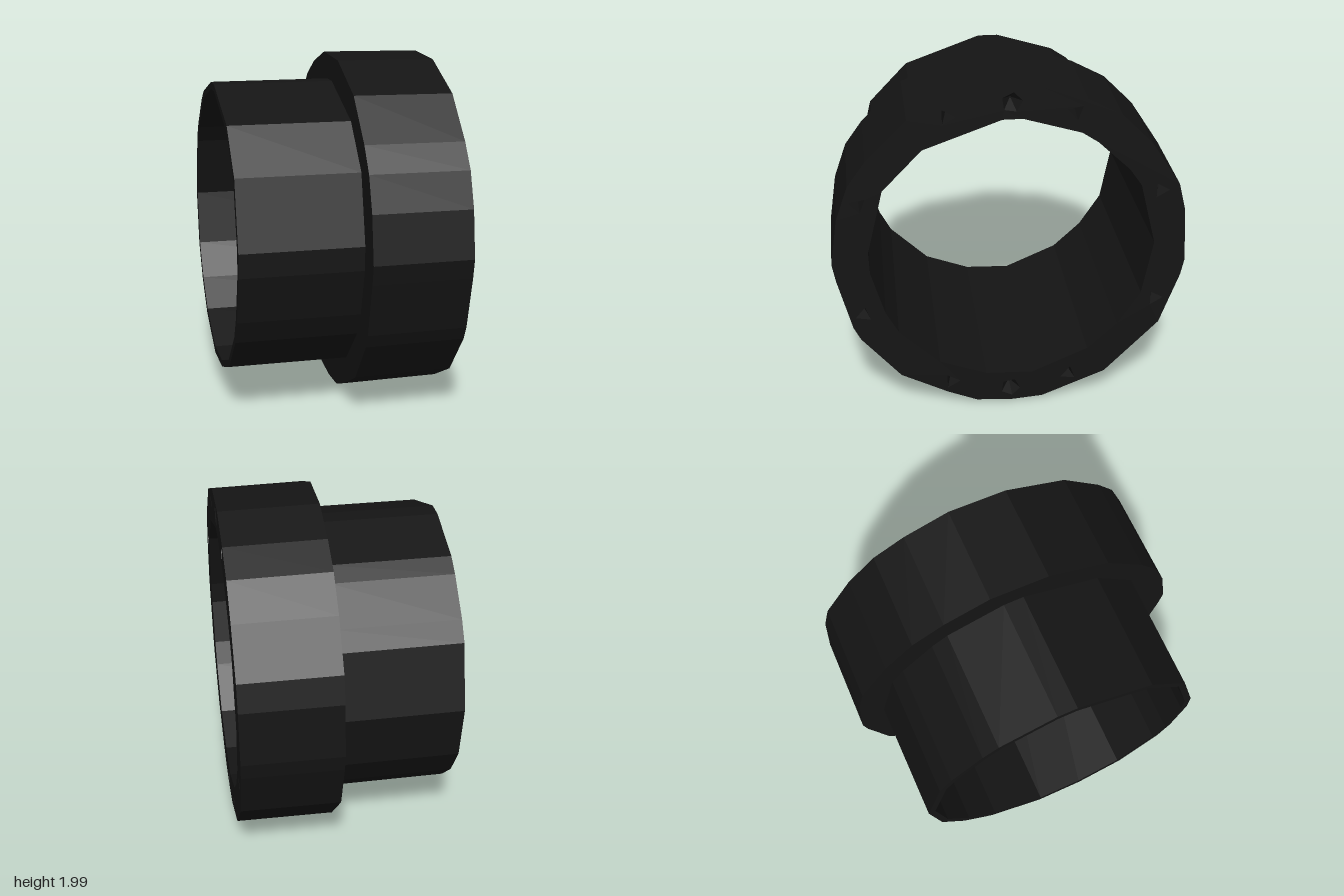
import * as THREE from 'three';

const FRONT = 0.625, STEP = 0.06, BACK = -0.63;

// Counter-clockwise outlines about the ring's axis, as [across, up] pairs
const outline = (pairs, s = 1) => pairs.map(([u, v]) => new THREE.Vector2(u * s, v * s)).reverse();
const RIM = [
  [-0.2, 0.98], [0.14, 0.995], [0.41, 0.91], [0.6, 0.81], [0.77, 0.64], [0.94, 0.38],
  [0.98, 0.22], [1, -0.1], [0.98, -0.2], [0.87, -0.51], [0.56, -0.83], [0.19, -0.98],
  [0, -0.995], [-0.2, -0.98], [-0.37, -0.91], [-0.64, -0.77], [-0.86, -0.51], [-0.9, -0.43],
  [-0.98, -0.12], [-1, -0.01], [-0.96, 0.26], [-0.89, 0.46], [-0.79, 0.6], [-0.56, 0.83]];
const BORE = [
  [-0.05, 0.805], [0.06, 0.805], [0.38, 0.71], [0.47, 0.65], [0.65, 0.48], [0.72, 0.38],
  [0.81, 0.02], [0.75, -0.3], [0.62, -0.5], [0.45, -0.66], [0.13, -0.8], [-0.14, -0.79],
  [-0.41, -0.69], [-0.64, -0.47], [-0.71, -0.34], [-0.785, -0.08], [-0.79, 0.05],
  [-0.7, 0.42], [-0.48, 0.65]];

// Wall joining two matching outlines; swapping the ends turns it inside out
function wall(a, za, b, zb) {
  const pos = [];
  a.forEach((p, i) => {
    const j = (i + 1) % a.length;
    pos.push(p.x, p.y, za, a[j].x, a[j].y, za, b[j].x, b[j].y, zb);
    pos.push(p.x, p.y, za, b[j].x, b[j].y, zb, b[i].x, b[i].y, zb);
  });
  const g = new THREE.BufferGeometry();
  g.setAttribute('position', new THREE.Float32BufferAttribute(pos, 3));
  g.computeVertexNormals();
  return g;
}

// Flat face with openings, optionally facing backwards
function face(outer, holes, z, backward = false) {
  const shape = new THREE.Shape(outer);
  shape.holes = holes.map(h => new THREE.Path(h));
  const g = new THREE.ShapeGeometry(shape);
  if (backward) {
    const idx = g.index.array;
    for (let i = 0; i < idx.length; i += 3) [idx[i], idx[i + 1]] = [idx[i + 1], idx[i]];
    g.computeVertexNormals();
  }
  return g.translate(0, 0, z);
}

export function createModel() {
  const model = new THREE.Group();
  const ring = new THREE.Group();
  ring.name = 'flangedRing';
  model.add(ring);
  const material = new THREE.MeshStandardMaterial({ color: 0x141414, flatShading: true });
  const add = (name, geometry) => {
    const mesh = new THREE.Mesh(geometry, material);
    mesh.name = name;
    ring.add(mesh);
  };

  const rimBack = outline(RIM), rimFront = outline(RIM, 0.993);
  const bore = outline(BORE), sleeve = outline(BORE, 1.05);

  // Small pits around the flange face
  const pits = [22.5, 67.5, 90, 112.5, 157.5, 202.5, 247.5, 270, 292.5, 337.5].map((deg, k) => {
    const t = THREE.MathUtils.degToRad(deg);
    const sides = deg % 180 === 90 ? 5 : 3;
    const r = sides === 5 ? 0.058 : 0.05;
    return Array.from({ length: sides }, (_, i) => {
      const a = (i / sides) * Math.PI * 2 + k * 0.7;
      return new THREE.Vector2(Math.cos(t) * 0.9 + Math.cos(a) * r, Math.sin(t) * 0.9 + Math.sin(a) * r);
    });
  });
  pits.forEach((pit, k) => {
    const c = pit.reduce((s, p) => s.add(p), new THREE.Vector2()).divideScalar(pit.length);
    const tip = pit.map(p => p.clone().lerp(c, 0.9));
    add('pit' + (k + 1), wall(pit, FRONT, tip, FRONT - 0.08));
    add('pitFloor' + (k + 1), face(tip, [], FRONT - 0.08));
  });

  // Flange
  add('flangeRim', wall(rimBack, STEP, rimFront, FRONT));
  add('flangeFace', face(rimFront, [bore, ...pits], FRONT));
  add('flangeShoulder', face(rimBack, [sleeve], STEP, true));

  // Sleeve and bore
  add('sleeve', wall(sleeve, BACK, sleeve, STEP));
  add('sleeveEnd', face(sleeve, [bore], BACK, true));
  add('bore', wall(bore, FRONT, bore, BACK));

  // Lay the axis along x
  ring.rotation.y = Math.PI / 2;
  ring.position.y = 1;
  return model;
}
